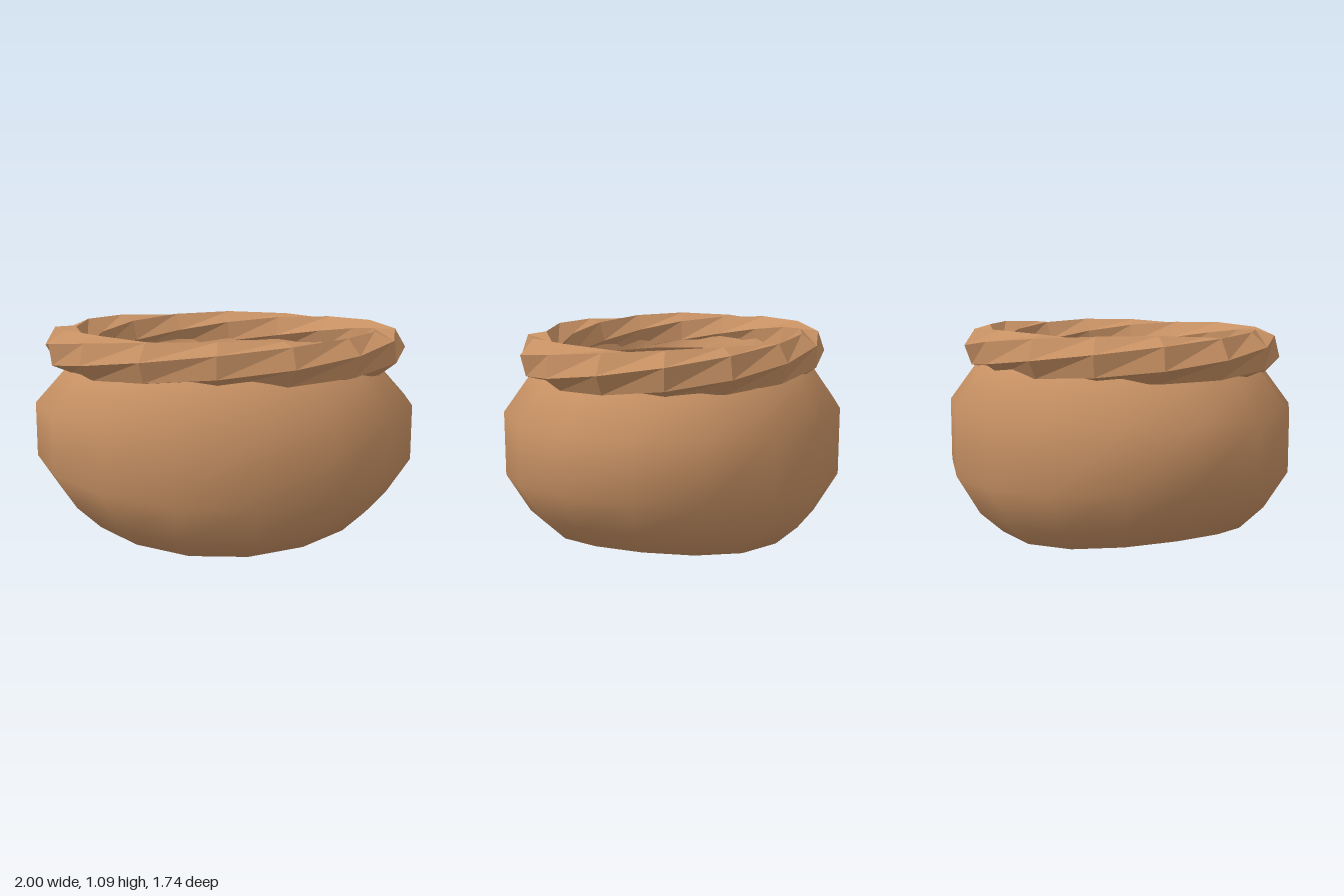
import * as THREE from 'three';

const SIDES = 16;

// Joins a list of closed loops (each with SIDES points) into a skin.
function skin(loops, flat) {
  const index = [];
  for (let j = 0; j < loops.length - 1; j++) {
    for (let i = 0; i < SIDES; i++) {
      const n = (i + 1) % SIDES;
      const a = j * SIDES + i, b = j * SIDES + n;
      const c = a + SIDES, d = b + SIDES;
      index.push(a, c, b, b, c, d);
    }
  }
  let geo = new THREE.BufferGeometry();
  geo.setAttribute('position', new THREE.Float32BufferAttribute(loops.flat(2), 3));
  geo.setIndex(index);
  if (flat) geo = geo.toNonIndexed();
  geo.computeVertexNormals();
  return geo;
}

// Oval loop: half widths and heights are given on the x side and on the z side.
function oval([rx, yx, rz, yz, power = 1]) {
  const k = Math.cos(Math.PI / SIDES);
  const bend = (v) => Math.sign(v) * Math.pow(Math.abs(v), power);
  return Array.from({ length: SIDES }, (_, i) => {
    const t = ((i + 0.5) / SIDES) * Math.PI * 2;
    const c = Math.cos(t), s = Math.sin(t);
    const w = THREE.MathUtils.clamp((c * c - 0.038) / 0.924, 0, 1);
    return [(rx / k) * bend(c), yx * w + yz * (1 - w), (rz / k) * bend(s)];
  });
}

export function createModel() {
  const clay = new THREE.MeshStandardMaterial({ color: 0xc69063 });
  clay.name = 'clay';
  const group = new THREE.Group();
  group.name = 'pot';
  const add = (name, geo) => {
    const mesh = new THREE.Mesh(geo, clay);
    mesh.name = name;
    group.add(mesh);
  };

  // Rounded outer body, from the middle of the base up to the shoulder
  add('body', skin([
    [0, 0, 0, 0],
    [0.32, 0, 0.3, 0],
    [0.75, 0.08, 0.63, 0],
    [0.88, 0.21, 0.75, 0.11],
    [1, 0.4, 0.87, 0.32],
    [1, 0.69, 0.87, 0.68],
    [0.84, 0.87, 0.73, 0.89],
    [0.76, 0.97, 0.64, 0.97],
  ].map(oval)));

  // Steep inner lip of the mouth
  add('lip', skin([
    [0.76, 0.97, 0.64, 0.97],
    [0.71, 0.89, 0.59, 0.89, 0.85],
  ].map(oval)));

  // Hollow inside wall
  add('innerWall', skin([
    [0.71, 0.89, 0.59, 0.89, 0.85],
    [0.92, 0.67, 0.79, 0.66],
    [0.92, 0.42, 0.79, 0.36],
    [0.82, 0.24, 0.69, 0.2],
    [0.74, 0.13, 0.62, 0.13],
  ].map(oval)));

  // Flat inside floor
  add('innerFloor', skin([
    [0.74, 0.13, 0.62, 0.13],
    [0, 0.13, 0, 0.13],
  ].map(oval)));

  // Rim: a six-sided rope that makes one full twist around the mouth
  const rim = [];
  for (let k = 0; k <= 6; k++) {
    rim.push(Array.from({ length: SIDES }, (_, i) => {
      const t = (i / SIDES) * Math.PI * 2;
      const phi = (k * Math.PI) / 3 - t;
      const r = 0.86 + 0.115 * Math.cos(phi);
      return [r * Math.cos(t), 0.978 + 0.113 * Math.sin(phi), 0.815 * r * Math.sin(t)];
    }));
  }
  add('twistedRim', skin(rim, true));

  return group;
}
